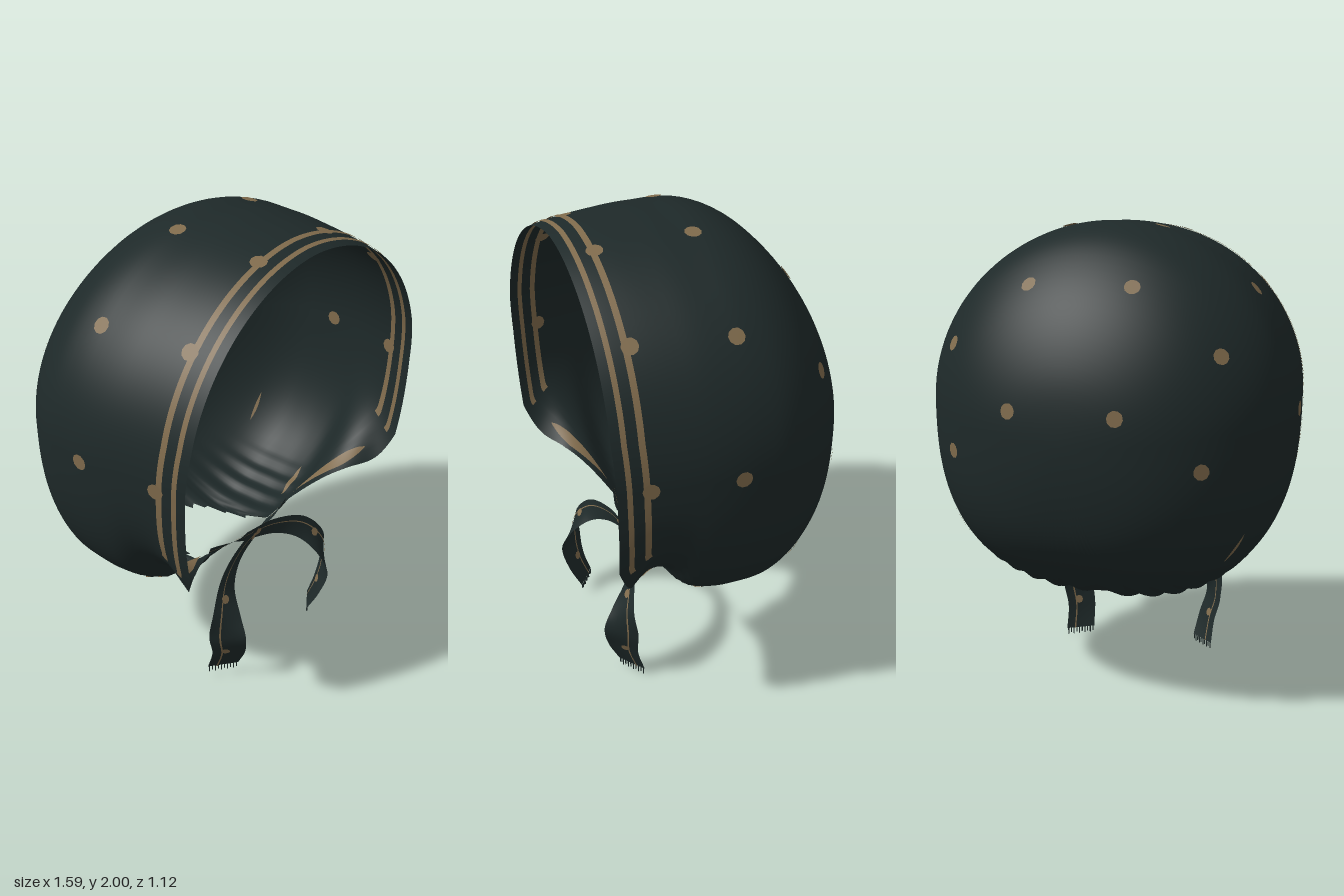
import * as THREE from 'three';
import { mergeVertices } from 'three/addons/utils/BufferGeometryUtils.js';

const RAD = Math.PI / 180, DEPTH = 0.56;
const V = (x, y, z) => new THREE.Vector3(x, y, z);

// Cross-sections of the bonnet, front to back: z, top y, half width, centre y, bottom y
const SECTIONS = [
  [0.56, 1.955, 0.71, 1.25, 0.38],
  [0.5, 1.97, 0.722, 1.25, 0.43],
  [0.4, 1.985, 0.742, 1.25, 0.6],
  [0.28, 1.995, 0.766, 1.25, 0.59],
  [0.2, 2.0, 0.78, 1.25, 0.47],
  [0.1, 2.0, 0.79, 1.25, 0.43],
  [0, 2.0, 0.79, 1.25, 0.42],
  [-0.1, 1.975, 0.78, 1.25, 0.42],
  [-0.2, 1.92, 0.742, 1.24, 0.455],
  [-0.3, 1.828, 0.672, 1.22, 0.52],
  [-0.4, 1.7, 0.565, 1.2, 0.61],
  [-0.5, 1.502, 0.38, 1.17, 0.765],
  [-0.545, 1.34, 0.205, 1.16, 0.94],
  [-DEPTH, 1.15, 0, 1.15, 1.15],
];
// Depth runs as an arc behind z = 0, so that the back closes as a round dome
const toT = (z) => (z > 0 ? -z : DEPTH * Math.asin(Math.min(1, -z / DEPTH)));
const toZ = (t) => (t < 0 ? -t : -DEPTH * Math.sin(t / DEPTH));
const T_END = toT(-DEPTH);
const sections = new THREE.CubicInterpolant(
  SECTIONS.map((s) => toT(s[0])), SECTIONS.flatMap((s) => s.slice(1)), 4, new Float32Array(4));

// Point on the cloth; angle 0 is under the chin, 180 the crown
function clothPoint(deg, t) {
  const [top, w, yc, bottom] = sections.evaluate(t);
  const c = Math.cos(deg * RAD), s = Math.sin(deg * RAD);
  let x = w * s, y = yc - (top - yc) * c;
  if (c > 0) {
    x = w * Math.sign(s) * Math.abs(s) ** 0.77;
    y = yc - (yc - bottom) * c ** 0.77;
  }
  // fine gathers close to the neck
  const gather = 1 - THREE.MathUtils.smoothstep(y, 0.42, 0.62);
  const k = 1 + 0.01 * gather * Math.sin(48 * deg * RAD);
  return V(x * k, yc + (y - yc) * k, toZ(t));
}
function clothNormal(deg, t) {
  const a = clothPoint(deg + 0.5, t).sub(clothPoint(deg - 0.5, t));
  const b = clothPoint(deg, Math.min(t + 0.01, T_END)).sub(clothPoint(deg, t - 0.01));
  const n = a.cross(b).normalize();
  return n.dot(clothPoint(deg, t).sub(V(0, 1.2, 0))) < 0 ? n.negate() : n;
}

// Edge of the bonnet: neck hole, cheeks, then the face opening
const EDGE = [[0, -0.21], [5, -0.13], [10, 0.1], [13, 0.28], [36, 0.4], [69, 0.542], [105, 0.558], [180, 0.542]];
function edgeT(deg) {
  const d = deg > 180 ? 360 - deg : deg;
  const i = Math.max(1, EDGE.findIndex((e) => e[0] >= d));
  const [a, za] = EDGE[i - 1], [b, zb] = EDGE[i];
  let z = za + ((zb - za) * (d - a)) / (b - a);
  if (d < 12) z += 0.03 * Math.sin(d * 3); // ragged neck hem
  return toT(z);
}

// Surface grid from a function of (u, v), both 0 to 1
function grid(fn, nu, nv) {
  const pos = [], idx = [];
  for (let i = 0; i <= nu; i++) {
    for (let j = 0; j <= nv; j++) {
      pos.push(...fn(i / nu, j / nv).toArray());
      if (i < nu && j < nv) {
        const a = i * (nv + 1) + j, b = a + nv + 1;
        idx.push(a, b, b + 1, a, b + 1, a + 1);
      }
    }
  }
  let g = new THREE.BufferGeometry();
  g.setAttribute('position', new THREE.Float32BufferAttribute(pos, 3));
  g.setIndex(idx);
  g = mergeVertices(g, 1e-5);
  g.computeVertexNormals();
  return g;
}

export function createModel() {
  const model = new THREE.Group();
  model.name = 'bonnet';
  const cloth = new THREE.MeshStandardMaterial({ name: 'dark green cloth', color: 0x1e2929, side: THREE.DoubleSide });
  const gold = new THREE.MeshStandardMaterial({ name: 'tan print', color: 0x806b4c, side: THREE.DoubleSide });
  const add = (parent, name, geometry, material) => {
    const mesh = new THREE.Mesh(geometry, material);
    mesh.name = name;
    parent.add(mesh);
    return mesh;
  };

  // Hood
  add(model, 'hood', grid((u, v) => {
    const t0 = edgeT(u * 360);
    return clothPoint(u * 360, t0 + (T_END - t0) * v);
  }, 360, 44), cloth);

  // Printed band between two angles; tAt(deg) is its middle, halfAt(u) its half width
  const band = (name, from, to, tAt, halfAt, n) => {
    for (const side of [-0.004, 0.004]) {
      add(model, name, grid((u, v) => {
        const deg = from + (to - from) * u;
        const t = tAt(deg) + halfAt(u) * (v * 2 - 1);
        return clothPoint(deg, t).addScaledVector(clothNormal(deg, t), side);
      }, n, 2), gold);
    }
  };
  // Two stripes along the face opening
  band('hoodStripe', 67, 293, (deg) => edgeT(deg) + 0.045, () => 0.01, 160);
  band('hoodStripe', 67, 293, (deg) => edgeT(deg) + 0.107, () => 0.012, 160);
  // Tapered streaks on the cheeks and in the pleats, mirrored
  const taper = (w) => (u) => 0.001 + w * Math.sin(Math.PI * u);
  for (const m of [(d) => d, (d) => 360 - d]) {
    band('cheekStreak', m(18), m(52), (deg) => edgeT(deg) + 0.04, taper(0.022), 24);
    band('pleatStreak', m(47), m(60), () => toT(-0.22), taper(0.006), 12);
    band('neckStreak', m(23), m(37), () => toT(0.14), taper(0.012), 16);
  }

  // Printed dots: angle, z
  const DOTS = [[130, 0.05], [165, 0.05], [90, 0.09], [132, 0.43], [165, 0.43], [90, 0.43],
    [160, -0.335], [119, -0.32], [82, -0.42], [120, -0.535]];
  for (const [deg, z] of DOTS) {
    for (const angle of [deg, 360 - deg]) {
      for (const side of [-0.005, 0.005]) {
        const n = clothNormal(angle, toT(z));
        const dot = add(model, 'hoodDot', new THREE.CircleGeometry(0.033, 10), gold);
        dot.position.copy(clothPoint(angle, toT(z))).addScaledVector(n, side);
        dot.quaternion.setFromUnitVectors(V(0, 0, 1), n);
      }
    }
  }

  // Chin ties: centre line and half-width vectors of a ribbon
  const line = new THREE.CatmullRomCurve3([V(-0.25, 0.575, 0.25), V(-0.05, 0.56, 0.28), V(0.12, 0.54, 0.31),
    V(0.26, 0.48, 0.36), V(0.335, 0.37, 0.42), V(0.345, 0.25, 0.435), V(0.32, 0.14, 0.42), V(0.31, 0.03, 0.38)]);
  const half = new THREE.CatmullRomCurve3([V(0, 0.03, 0.01), V(0, 0.03, 0.01), V(0, 0.04, 0),
    V(0.03, 0.04, -0.01), V(0.055, 0.02, -0.03), V(0.05, 0, -0.06), V(0.05, 0, -0.05), V(0.055, 0, -0.04)]);
  const ribbon = (u, v, lift = 0) => {
    const w = half.getPoint(u);
    const n = line.getTangent(u).cross(w).normalize();
    return line.getPoint(u).addScaledVector(w, v * 2 - 1).addScaledVector(n, lift);
  };
  for (const sign of [1, -1]) {
    const tie = new THREE.Group();
    tie.name = sign > 0 ? 'leftTie' : 'rightTie';
    add(tie, 'tieRibbon', grid((u, v) => ribbon(u, v), 60, 6), cloth);
    for (const lift of [-0.004, 0.004]) {
      add(tie, 'tieStripe', grid((u, v) => ribbon(u, 0.68 + 0.05 * v, lift), 60, 1), gold);
      for (const u of [0.2, 0.5, 0.83]) {
        const dot = add(tie, 'tieDot', new THREE.CircleGeometry(0.02, 8), gold);
        dot.position.copy(ribbon(u, 0.6, lift * 1.4));
        const n = ribbon(u, 0.6, 1).sub(ribbon(u, 0.6));
        dot.quaternion.setFromUnitVectors(V(0, 0, 1), n);
      }
    }
    // Fringe at the end
    for (let i = 0; i < 10; i++) {
      const length = 0.022 + 0.008 * (i % 2);
      const thread = add(tie, 'fringeThread', new THREE.BoxGeometry(0.004, length, 0.004), cloth);
      thread.position.copy(ribbon(1, (i + 0.5) / 10));
      thread.position.y -= length / 2;
    }
    if (sign < 0) {
      tie.scale.set(-1, 0.95, 1);
      tie.position.set(0, 0.03, 0.01);
    }
    model.add(tie);
  }
  return model;
}
